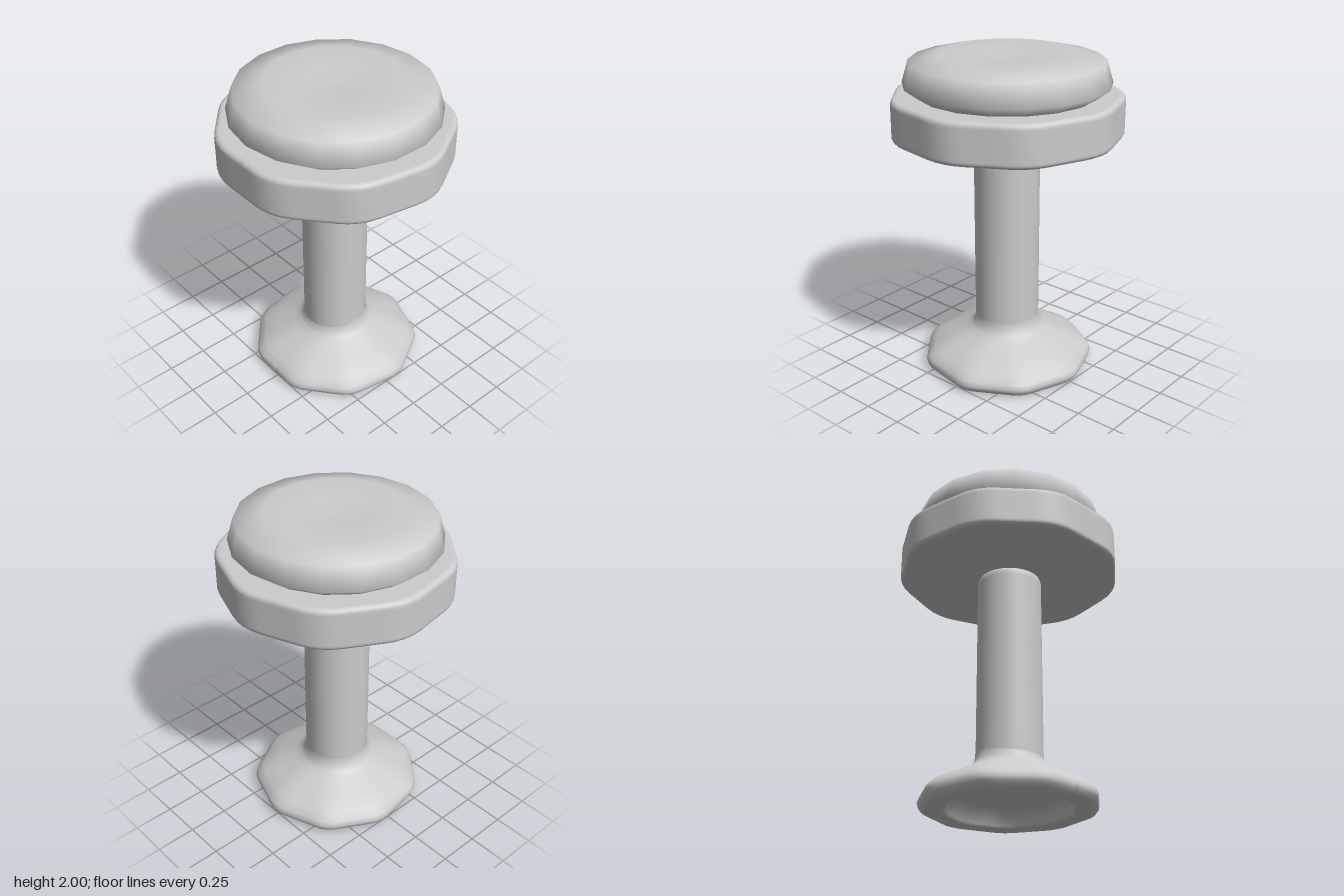
import * as THREE from 'three';

const SIDES = 9;
const HALF = Math.PI / SIDES;

// Radius of a unit-apothem nonagon at angle phi; c = corner fillet radius (1 gives a circle)
function nonagonRadius(phi, c) {
  const step = 2 * HALF;
  const d = Math.abs(phi - Math.round(phi / step) * step);
  if (d <= Math.atan((1 - c) * Math.tan(HALF))) return 1 / Math.cos(d);
  const centre = (1 - c) / Math.cos(HALF);
  const e = HALF - d;
  return centre * Math.cos(e) + Math.sqrt(c * c - (centre * Math.sin(e)) ** 2);
}

// Turned solid whose cross-section is a filleted nonagon; fillet(r, y) sets corner roundness
function nonagonLathe(profile, fillet) {
  const geo = new THREE.LatheGeometry(profile.map(p => new THREE.Vector2(...p)), SIDES * 8);
  const pos = geo.attributes.position;
  for (let i = 0; i < pos.count; i++) {
    const x = pos.getX(i), y = pos.getY(i), z = pos.getZ(i);
    const k = nonagonRadius(Math.atan2(x, z), fillet(Math.hypot(x, z), y));
    pos.setXYZ(i, x * k, y, z * k);
  }
  geo.computeVertexNormals();
  return geo;
}

export function createModel() {
  const group = new THREE.Group();
  group.name = 'stool';
  const material = new THREE.MeshStandardMaterial({ color: 0xcccccc });
  const add = (name, geo, z = 0.01) => {
    const mesh = new THREE.Mesh(geo, material);
    mesh.name = name;
    mesh.position.z = z;
    group.add(mesh);
  };

  // Flared foot, hollow underneath, blending from nonagon to round at the neck
  add('base', nonagonLathe([
    [0, 0.11], [0.2, 0.11], [0.3, 0.1], [0.345, 0.065], [0.36, 0.015], [0.375, 0.003],
    [0.39, 0], [0.465, 0], [0.488, 0.008], [0.507, 0.03], [0.515, 0.055], [0.505, 0.085],
    [0.465, 0.125], [0.38, 0.17], [0.27, 0.228], [0.23, 0.255], [0.208, 0.285], [0.2, 0.325], [0.2, 0.34],
  ], (r) => THREE.MathUtils.clamp(1 - (r - 0.2) * 2.2, 0.35, 1)));

  // Round column with a softened top edge
  add('post', new THREE.LatheGeometry([
    [0.2, 0.3], [0.2, 0.33], [0.2, 1.45], [0.2, 1.475], [0.192, 1.495], [0.17, 1.508], [0.15, 1.512], [0, 1.512],
  ].map(p => new THREE.Vector2(...p)), 36), 0.014);

  // Nine-sided seat plate with rounded rims
  const R = 0.675, b = 0.03, y0 = 1.51, y1 = 1.765;
  const plate = [[0, y0], [R - b - 0.01, y0]];
  const arc = (yc, from) => {
    for (let i = 0; i <= 5; i++) {
      const a = from + (i / 5) * Math.PI / 2;
      plate.push([R - b + b * Math.cos(a), yc + b * Math.sin(a)]);
    }
  };
  arc(y0 + b, -Math.PI / 2);
  plate.push([R, y0 + b + 0.01], [R, y1 - b - 0.01]);
  arc(y1 - b, 0);
  plate.push([R - b - 0.01, y1], [0, y1]);
  add('seatPlate', nonagonLathe(plate, () => 0.5));

  // Faceted-outline cushion, slightly dished on top
  add('cushion', new THREE.LatheGeometry([
    [0, 1.74], [0.5, 1.745], [0.54, 1.766], [0.62, 1.825], [0.58, 1.96], [0.41, 2], [0.2, 1.98], [0, 1.972],
  ].map(p => new THREE.Vector2(...p)), 18));

  return group;
}
